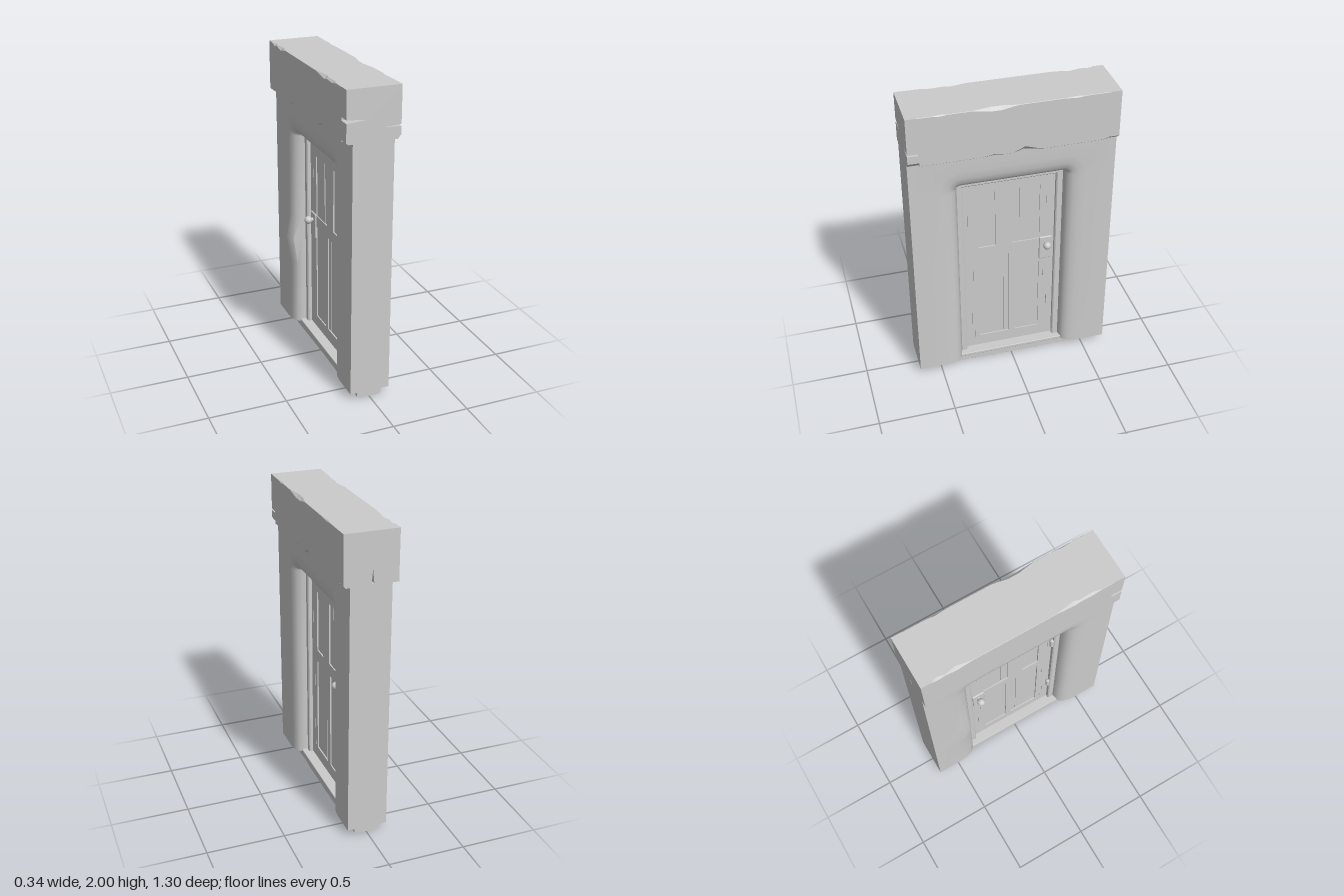
import * as THREE from 'three';
import { toCreasedNormals } from 'three/addons/utils/BufferGeometryUtils.js';
import { RoundedBoxGeometry } from 'three/addons/geometries/RoundedBoxGeometry.js';

const grey = new THREE.MeshStandardMaterial({ color: 0xcccccc });
const HALF = 0.345, TOP = 1.44, FLOOR = 0.045; // doorway opening

function add(parent, name, geometry, x = 0, y = 0, z = 0) {
  const mesh = new THREE.Mesh(geometry, grey);
  mesh.name = name;
  mesh.position.set(x, y, z);
  parent.add(mesh);
  return mesh;
}

// Skin closed cross-sections [x, y, z] and cap both ends (a, b: the axes of the cap plane)
function loft(rings, a, b, crease) {
  const n = rings[0].length, index = [];
  for (let i = 0; i < rings.length - 1; i++)
    for (let j = 0; j < n; j++) {
      const p = i * n + j, q = i * n + (j + 1) % n;
      index.push(p, q, q + n, p, q + n, p + n);
    }
  const axis = 3 - a - b;
  const cap = (ring, start, outward) => {
    const flat = ring.map((p) => new THREE.Vector2(p[a], p[b]));
    for (const t of THREE.ShapeUtils.triangulateShape(flat, [])) {
      const [p, q, r] = t.map((k) => new THREE.Vector3(...ring[k]));
      const normal = q.sub(p).cross(r.sub(p)).getComponent(axis);
      const [i, j, k] = t.map((v) => v + start);
      if (normal * outward > 0) index.push(i, j, k);
      else index.push(i, k, j);
    }
  };
  const last = rings.length - 1;
  cap(rings[0], 0, -1);
  cap(rings[last], last * n, axis === 1 ? -1 : 1);
  const g = new THREE.BufferGeometry();
  g.setAttribute('position', new THREE.Float32BufferAttribute(rings.flat(2), 3));
  g.setIndex(index);
  return toCreasedNormals(g, crease);
}

// Wall: one profile swept up, over and down around the doorway
function wallGeometry() {
  const profile = [[0, 0.04], [0.005, 0.07], [0.02, 0.098], [0.045, 0.115], [0.08, 0.125], [0.13, 0.13]];
  const r = 0.02;
  const stations = [FLOOR, 0.5, 0.69, 0.84].map((y) => ({ y, angle: 0 }));
  for (let k = 0; k <= 6; k++) stations.push({ y: TOP - r, angle: k * 15 });
  const section = ({ y, angle }, side) => {
    const at = (o, x) => {
      const t = angle * Math.PI / 180;
      // small swelling of the plaster beside the door
      const lump = side < 0 && x < 0 && y === 0.69 && o > 0.01 && o < 0.1 ? 0.026 : 0;
      return [x - lump, y + (r + o) * Math.sin(t), side * (HALF - r + (r + o) * Math.cos(t))];
    };
    const outer = (x) => {
      const p = at(0.13, x);
      if (angle <= 45) p[2] = side * 0.65;
      if (angle >= 45) p[1] = 1.69;
      return p;
    };
    return [...profile.map(([o, d]) => at(o, -d)), outer(-0.13), outer(0.13),
      ...profile.slice().reverse().map(([o, d]) => at(o, d))];
  };
  const rings = [...stations.map((s) => section(s, 1)), ...stations.slice().reverse().map((s) => section(s, -1))];
  return loft(rings, 2, 0, 0.6);
}

// Beam along z; chips = [z, depth] lists for bottom +x, top +x, top -x, bottom -x edges
function beamGeometry(w, y0, y1, z0, z1, chips) {
  const zs = [...new Set([z0, z1, ...chips.flat().map((c) => c[0])])].sort((a, b) => a - b);
  const depth = (list, z) => {
    for (let i = 0; i < list.length - 1; i++) {
      const [a, da] = list[i], [b, db] = list[i + 1];
      if (z >= a && z <= b) return Math.max(0.002, da + (db - da) * (z - a) / (b - a));
    }
    return 0.002;
  };
  const rings = zs.map((z) => {
    const [a, b, c, d] = chips.map((list) => depth(list, z));
    return [[w - a, y0], [w, y0 + a], [w, y1 - b], [w - b, y1], [c - w, y1], [-w, y1 - c], [-w, y0 + d], [d - w, y0]]
      .map(([x, y]) => [x, y, z]);
  });
  return loft(rings, 0, 1, 0.1);
}

const outline = (points) => new THREE.Shape(points.map((p) => new THREE.Vector2(...p)));

// Slab from a shape drawn as (-z, y), centred on x = 0
function slab(shape, thickness, bevel) {
  const g = new THREE.ExtrudeGeometry(shape, {
    depth: thickness - 2 * bevel, bevelThickness: bevel, bevelSize: bevel, bevelOffset: -bevel, bevelSegments: 1,
  });
  return g.translate(0, 0, bevel - thickness / 2).rotateY(Math.PI / 2);
}

function buildLintel(parent) {
  const lintel = new THREE.Group();
  lintel.name = 'lintel';
  parent.add(lintel);
  add(lintel, 'lintelBeam', beamGeometry(0.17, 1.68, 2, -0.58, 0.58, [
    [[-0.58, 0.012], [-0.53, 0], [-0.18, 0], [-0.13, 0.012], [-0.06, 0.035], [0.02, 0], [0.06, 0], [0.13, 0.012], [0.2, 0]],
    [[-0.43, 0], [-0.38, 0.008], [-0.27, 0], [-0.02, 0], [0.08, 0.02], [0.15, 0.02], [0.26, 0], [0.4, 0], [0.44, 0.008], [0.5, 0]],
    [[-0.58, 0.005], [-0.54, 0.015], [-0.5, 0.005], [-0.43, 0.02], [-0.33, 0], [0.2, 0], [0.32, 0.02], [0.36, 0.01], [0.44, 0.014], [0.5, 0]],
    [[-0.3, 0], [-0.22, 0.015], [-0.1, 0], [0.2, 0], [0.27, 0.02], [0.36, 0]],
  ]));
  // split ends of the beam
  const end = { depth: 0.07, bevelEnabled: false };
  add(lintel, 'lintelFrontEnd', new THREE.ExtrudeGeometry(outline([
    [-0.155, 1.68], [0.15, 1.68], [0.17, 1.705], [0.17, 1.755], [0.06, 1.76], [0.17, 1.766], [0.17, 2],
    [-0.17, 2], [-0.17, 1.826], [-0.04, 1.815], [-0.17, 1.805], [-0.17, 1.69]]), end), 0, 0, 0.58);
  add(lintel, 'lintelBackEnd', new THREE.ExtrudeGeometry(outline([
    [-0.17, 1.68], [-0.018, 1.68], [-0.008, 1.775], [0, 1.68], [0.155, 1.68], [0.17, 1.695],
    [0.17, 2], [-0.17, 2]]), end), 0, 0, -0.65);
}

function buildDoor(parent) {
  const door = new THREE.Group();
  door.name = 'door';
  parent.add(door);
  const rect = (u0, u1, y0, y1) => [[u0, y0], [u1, y0], [u1, y1], [u0, y1]];

  // stiles and rails, with panel openings and thin wear cracks
  const panels = [[-0.205, -0.09, 0.9, 1.32], [0.02, 0.205, 0.9, 1.32], [-0.205, 0, 0.15, 0.82], [0.04, 0.205, 0.15, 0.82]];
  const cracks = [[-0.24, 0.67, 0.1], [-0.255, 0.31, 0.13], [-0.24, 0.17, 0.06], [0.26, 0.38, 0.1], [0.235, 0.6, 0.07], [-0.27, 1.12, 0.1], [0.25, 1.2, 0.09]];
  const shape = outline(rect(-0.303, 0.303, 0.067, 1.4));
  for (const p of panels) shape.holes.push(outline(rect(...p)));
  for (const [u, y, l] of cracks)
    shape.holes.push(outline([[u - 0.003, y], [u, y - l / 2], [u + 0.003, y], [u + 0.001, y + l / 2]]));
  add(door, 'stilesAndRails', slab(shape, 0.036, 0).toNonIndexed());

  // recessed planks behind the openings
  add(door, 'doorCore', new THREE.BoxGeometry(0.008, 1.32, 0.6), 0, 0.735, 0);
  const planks = [[0.22, -0.068, 0.89, 1.33], [-0.074, -0.22, 0.89, 1.33], [0.22, 0.043, 0.14, 0.83], [0.037, -0.22, 0.14, 0.83]];
  planks.forEach(([z0, z1, y0, y1], i) => add(door, 'plank',
    new THREE.BoxGeometry(0.018 + 0.003 * (i % 2), y1 - y0, z0 - z1), 0, (y0 + y1) / 2, (z0 + z1) / 2));

  // lock plates and knobs on both faces
  for (const s of [1, -1]) {
    add(door, 'lockPlate', new RoundedBoxGeometry(0.016, 0.175, 0.085, 2, 0.007), s * 0.02, 0.822, -0.247);
    add(door, 'knobStem', new THREE.CylinderGeometry(0.011, 0.014, 0.04, 16).rotateZ(Math.PI / 2), s * 0.038, 0.86, -0.248);
    add(door, 'knob', new THREE.SphereGeometry(0.026, 24, 16), s * 0.06, 0.86, -0.248);
  }

  // hinges
  const pin = [[0, -0.055], [0.008, -0.05], [0.014, -0.04], [0.014, 0.04], [0.008, 0.05], [0, 0.055]];
  for (const y of [0.385, 1.14])
    add(door, 'hinge', toCreasedNormals(new THREE.LatheGeometry(pin.map((p) => new THREE.Vector2(...p)), 16), 0.5), -0.028, y, 0.296);
}

export function createModel() {
  const model = new THREE.Group();
  model.name = 'doorway';

  add(model, 'wall', wallGeometry());
  buildLintel(model);

  // sill and raised threshold
  add(model, 'sill', beamGeometry(0.08, 0, 0.055, -0.635, 0.64, [
    [[-0.635, 0.012], [-0.56, 0.004], [0.2, 0.004], [0.3, 0.012], [0.4, 0.004], [0.64, 0.01]],
    [], [], [[-0.635, 0.01], [-0.4, 0.004], [0.1, 0.01], [0.3, 0.004], [0.64, 0.01]]]));
  add(model, 'threshold', new RoundedBoxGeometry(0.17, 0.022, 0.71, 1, 0.004), 0, 0.054, 0);

  // door frame lining the opening
  const o = 0.347, i = 0.303;
  add(model, 'doorFrame', slab(outline([[-o, 0.05], [-i, 0.05], [-i, 1.402], [i, 1.402], [i, 0.05], [o, 0.05],
    [o, 1.425], [o - 0.015, 1.442], [0.015 - o, 1.442], [-o, 1.425]]), 0.09, 0.007));

  buildDoor(model);
  return model;
}
